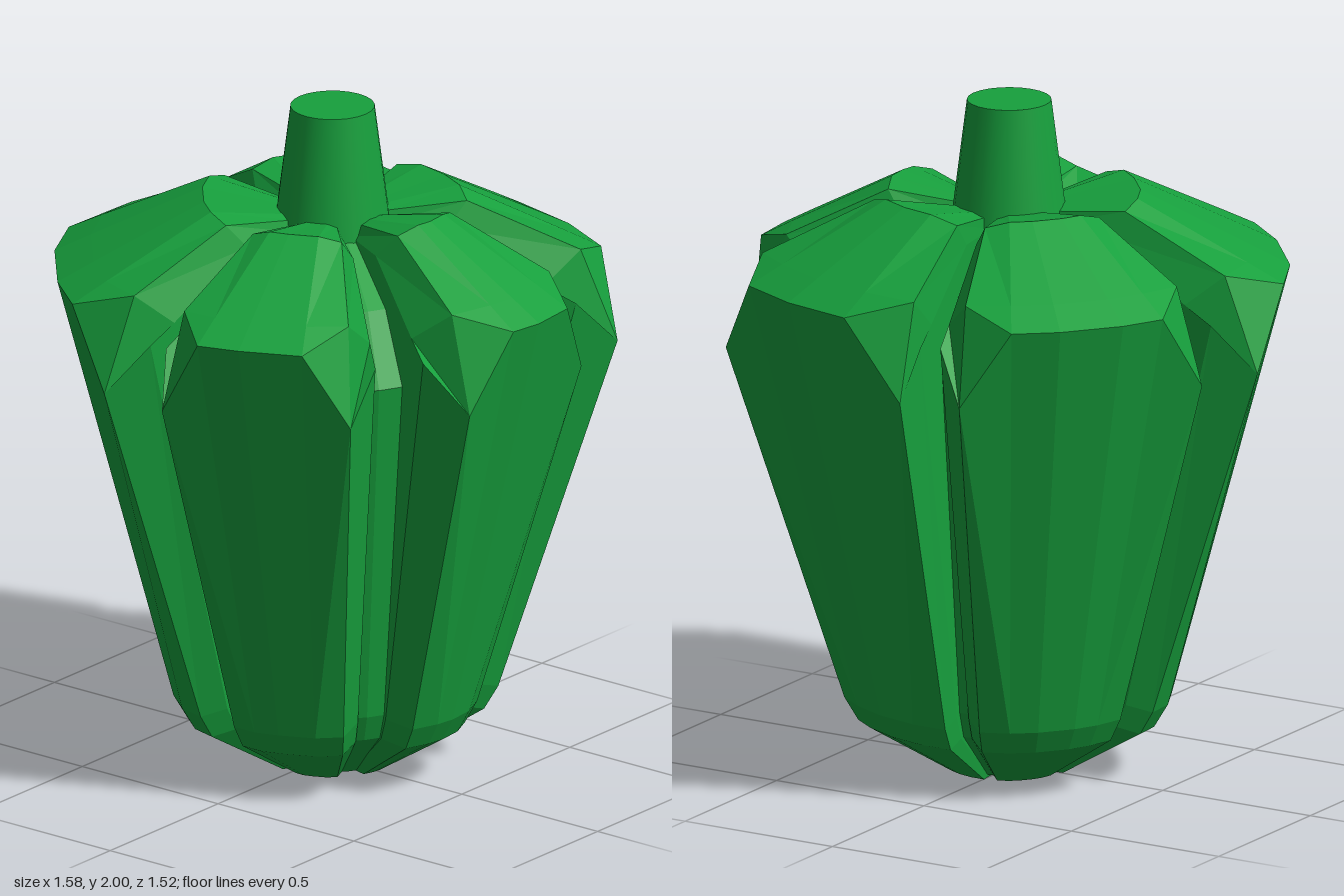
import * as THREE from 'three';

const CX = 0.02, CZ = -0.01; // axis of the fruit

// Widest outline of each lobe as [x, z]: side wall, outer corner, ..., outer corner, side wall
const LOBES = {
  frontRightLobe: [[-0.67, -0.01], [-0.79, 0.05], [-0.78, 0.21], [-0.69, 0.39], [-0.52, 0.59], [-0.37, 0.71], [-0.22, 0.75], [-0.13, 0.65]],
  frontLeftLobe: [[-0.08, 0.64], [0, 0.76], [0.13, 0.76], [0.25, 0.72], [0.42, 0.64], [0.52, 0.54], [0.5, 0.4]],
  leftLobe: [[0.58, 0.28], [0.72, 0.24], [0.77, 0.1], [0.785, 0], [0.77, -0.15], [0.71, -0.29], [0.58, -0.33]],
  backLeftLobe: [[0.61, -0.39], [0.66, -0.52], [0.52, -0.62], [0.33, -0.71], [0.11, -0.76], [-0.08, -0.76], [-0.08, -0.65]],
  backRightLobe: [[-0.13, -0.62], [-0.25, -0.71], [-0.39, -0.65], [-0.5, -0.56], [-0.62, -0.41], [-0.68, -0.29], [-0.72, -0.14], [-0.61, -0.05]],
};

// Rings from bottom to top: scale, then height of the middle, the outer corners and the side walls
const RINGS = [
  [0, 0, 0, 0],
  [0.22, 0, 0, 0.01],
  [0.53, 0.15, 0.15, 0.17],
  [0.58, 0.22, 0.22, 0.24],
  [1, 1.51, 1.28, 1.42],
  [0.87, 1.565, 1.56, 1.47],
  [0.47, 1.73, 1.71, 1.64],
  [0.18, 1.69, 1.68, 1.64],
];

// Loft of one lobe, closed toward the axis by a column at each end
function lobeGeometry(outline) {
  const n = outline.length;
  const grid = RINGS.map(([s, yMid, yCorner, ySide]) => {
    const row = outline.map(([x, z], i) => {
      const edge = Math.min(i, n - 1 - i);
      const y = edge === 0 ? ySide : edge === 1 ? yCorner : yMid;
      return new THREE.Vector3(CX + (x - CX) * s, y, CZ + (z - CZ) * s);
    });
    const axis = new THREE.Vector3(CX, ySide, CZ);
    return [axis, ...row, axis.clone()];
  });

  const pos = [];
  const tri = (a, b, c) => {
    if (new THREE.Triangle(a, b, c).getArea() < 1e-7) return;
    for (const p of [a, b, c]) pos.push(p.x, p.y, p.z);
  };
  for (let r = 0; r < grid.length - 1; r++) {
    for (let i = 0; i < n + 1; i++) {
      const a = grid[r][i], b = grid[r][i + 1];
      const c = grid[r + 1][i + 1], d = grid[r + 1][i];
      // mirrored diagonals keep the shoulder facets symmetrical
      if (i < (n + 1) / 2) { tri(a, b, d); tri(b, c, d); }
      else { tri(a, b, c); tri(a, c, d); }
    }
  }
  const geo = new THREE.BufferGeometry();
  geo.setAttribute('position', new THREE.Float32BufferAttribute(pos, 3));
  geo.computeVertexNormals();
  return geo;
}

export function createModel() {
  const group = new THREE.Group();
  group.name = 'bellPepper';
  const green = new THREE.MeshStandardMaterial({ color: 0x17a03d, flatShading: true, side: THREE.DoubleSide });
  const add = (name, geo, mat = green) => {
    const mesh = new THREE.Mesh(geo, mat);
    mesh.name = name;
    group.add(mesh);
    return mesh;
  };

  for (const [name, outline] of Object.entries(LOBES)) add(name, lobeGeometry(outline));

  // Core that forms the floor of the grooves
  const profile = [[0, 0.01], [0.15, 0.01], [0.33, 0.17], [0.36, 0.25], [0.49, 1.3], [0.37, 1.5], [0.15, 1.64]];
  add('core', new THREE.LatheGeometry(profile.map(([x, y]) => new THREE.Vector2(x, y)), 20)).position.set(CX, 0, CZ);

  // Tapered stalk
  const smooth = new THREE.MeshStandardMaterial({ color: 0x17a03d });
  add('stalk', new THREE.CylinderGeometry(0.122, 0.17, 0.38, 24), smooth).position.set(0.012, 1.81, -0.015);
  return group;
}
